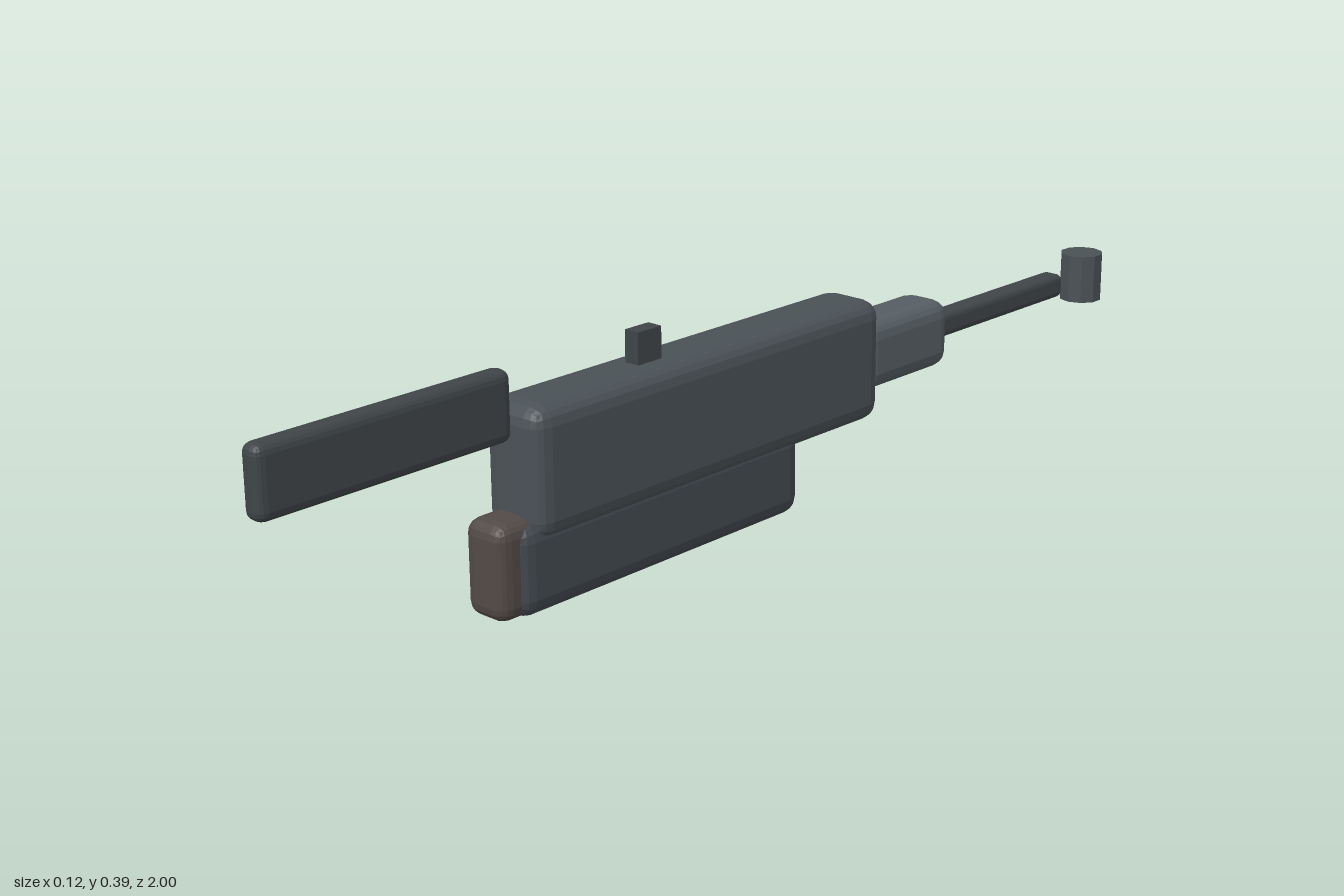
import * as THREE from 'three';
import { RoundedBoxGeometry } from 'three/addons/geometries/RoundedBoxGeometry.js';

const paint = (color) => new THREE.MeshStandardMaterial({ color, flatShading: true });

export function createModel() {
  const group = new THREE.Group();
  const bodyGrey = paint(0x4a5156);
  const slateGrey = paint(0x434950);
  const lightGrey = paint(0x555d63);
  const darkGrey = paint(0x3f4548);
  const brown = paint(0x524a47);

  const add = (name, geometry, material, y, z) => {
    const mesh = new THREE.Mesh(geometry, material);
    mesh.name = name;
    mesh.position.set(0, y, z);
    group.add(mesh);
  };

  // Box with two-step bevels, given by its width and its y and z limits
  const block = (name, material, width, y0, y1, z0, z1, bevel) =>
    add(name, new RoundedBoxGeometry(width, y1 - y0, z1 - z0, 2, bevel),
      material, (y0 + y1) / 2, (z0 + z1) / 2);

  // Main housing with the lower housing and its end cap
  block('mainHousing', bodyGrey, 0.122, 0.12, 0.333, -0.28, 0.53, 0.032);
  block('lowerHousing', slateGrey, 0.104, 0.002, 0.155, -0.08, 0.56, 0.03);
  block('endCap', brown, 0.084, 0.004, 0.161, 0.47, 0.592, 0.024);

  // Flat blade at the front
  block('blade', darkGrey, 0.04, 0.278, 0.392, 0.535, 1, 0.016);

  // Stepped rear sleeve and thin rod
  block('rearSleeve', lightGrey, 0.1, 0.165, 0.287, -0.486, -0.25, 0.03);
  block('rod', darkGrey, 0.042, 0.205, 0.249, -0.87, -0.46, 0.011);

  // Free-standing drum behind the rod
  add('drum', new THREE.CylinderGeometry(0.04, 0.04, 0.09, 10), bodyGrey, 0.225, -0.96);

  // Small block on top
  add('topBlock', new THREE.BoxGeometry(0.028, 0.064, 0.052), darkGrey, 0.354, 0.242);

  return group;
}
